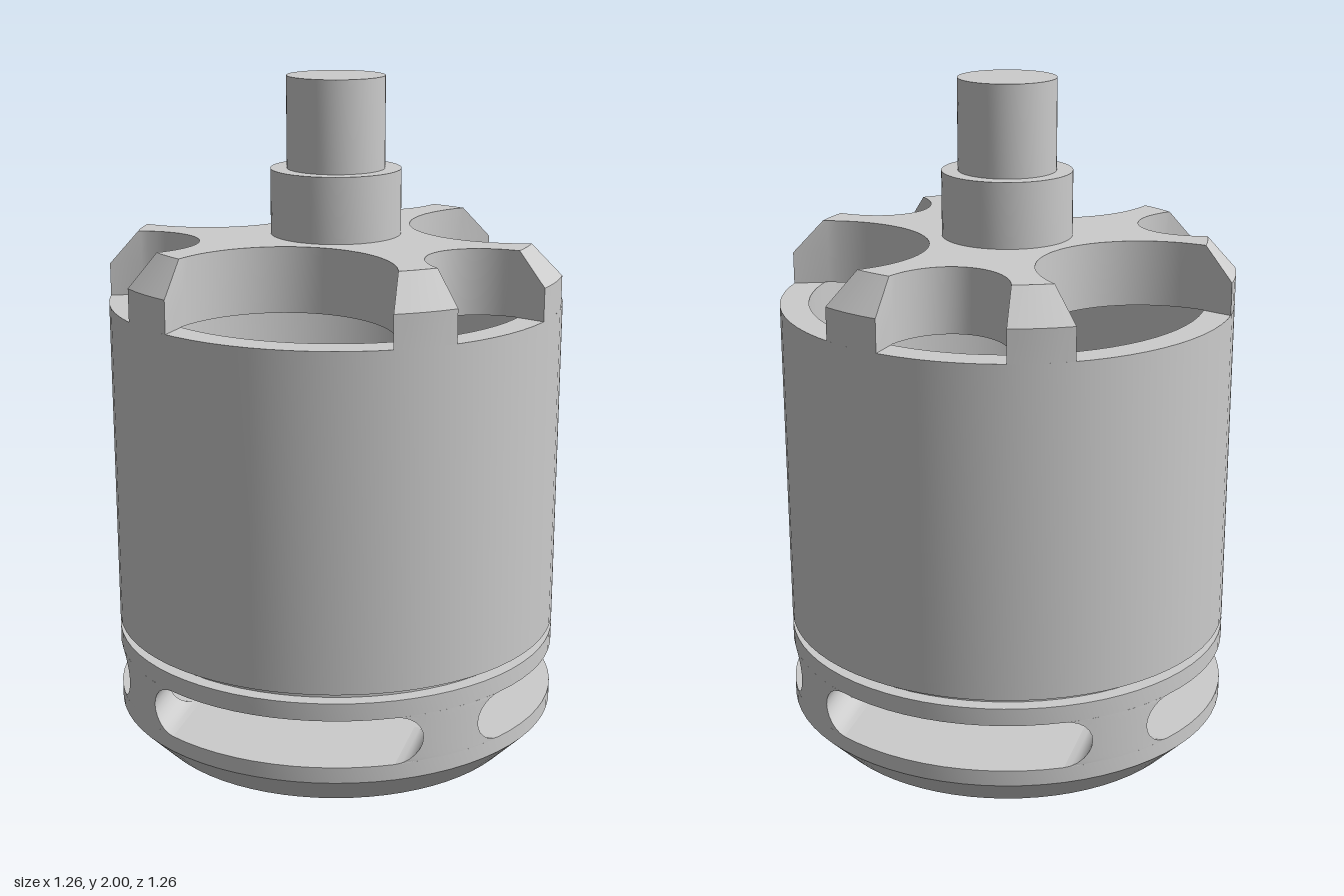
import * as THREE from 'three';
import { toCreasedNormals } from 'three/addons/utils/BufferGeometryUtils.js';

const R = 0.63;      // outer radius
const RI = 0.55;     // bore radius, also the top edge of the bevel
const SEG = 72;

function add(parent, name, geometry, side = THREE.FrontSide) {
  const material = new THREE.MeshStandardMaterial({ color: 0xcccccc, side });
  const mesh = new THREE.Mesh(toCreasedNormals(geometry, 0.5), material);
  mesh.name = name;
  parent.add(mesh);
  return mesh;
}

const lathe = (pts, seg = SEG) =>
  new THREE.LatheGeometry(pts.map(([r, y]) => new THREE.Vector2(r, y)), seg);

// Solid through matching counter-clockwise outlines (x, -z) at rising heights
function loft(levels) {
  const n = levels[0].pts.length;
  const pos = [], index = [];
  for (const { y, pts } of levels) for (const p of pts) pos.push(p.x, y, -p.y);
  for (let l = 0; l < levels.length - 1; l++) {
    for (let i = 0; i < n; i++) {
      const a = l * n + i, b = l * n + (i + 1) % n;
      index.push(a, b, b + n, a, b + n, a + n);
    }
  }
  const last = levels.length - 1;
  for (const [a, b, c] of THREE.ShapeUtils.triangulateShape(levels[0].pts, [])) index.push(a, c, b);
  for (const [a, b, c] of THREE.ShapeUtils.triangulateShape(levels[last].pts, []))
    index.push(last * n + a, last * n + b, last * n + c);
  const g = new THREE.BufferGeometry();
  g.setAttribute('position', new THREE.Float32BufferAttribute(pos, 3));
  g.setIndex(index);
  g.computeVertexNormals();
  return g;
}

// Pockets: half ellipse centred at distance d, radial half axis a, half width b
const LARGE = { d: 0.55, a: 0.325, b: 0.3 };
const SMALL = { d: 0.6, a: 0.215, b: 0.17 };

const halfWidth = ({ d, a, b }, u) => u >= d ? b : b * Math.sqrt(Math.max(0, 1 - ((d - u) / a) ** 2));

// Where the pocket edge meets a circle of the given radius
function rimPoint(p, radius) {
  let lo = p.d - p.a, hi = radius;
  for (let i = 0; i < 40; i++) {
    const u = (lo + hi) / 2;
    if (Math.hypot(u, halfWidth(p, u)) < radius) lo = u; else hi = u;
  }
  return [lo, halfWidth(p, lo)];
}

// Spoked outline with six pockets, its spoke ends lying on the given radius
function spokeOutline(radius) {
  const pts = [];
  for (let k = 0; k < 6; k++) {
    const phi = -Math.PI / 2 + k * Math.PI / 3;
    const p = k % 2 ? SMALL : LARGE, next = k % 2 ? LARGE : SMALL;
    const put = (u, v) => pts.push(new THREE.Vector2(
      u * Math.cos(phi) - v * Math.sin(phi), u * Math.sin(phi) + v * Math.cos(phi)));
    const [ue, ve] = rimPoint(p, radius);
    const tEnd = 0.97 * Math.acos((p.d - rimPoint(p, RI)[0]) / p.a);
    put(ue, -ve);
    for (let i = -14; i <= 14; i++) {
      const t = tEnd * i / 14;
      put(p.d - p.a * Math.cos(t), p.b * Math.sin(t));
    }
    put(ue, ve);
    const [un, vn] = rimPoint(next, radius);
    const from = Math.atan2(ve, ue), to = Math.PI / 3 - Math.atan2(vn, un);
    for (let i = 1; i < 4; i++) {
      const t = from + (to - from) * i / 4;
      put(radius * Math.cos(t), radius * Math.sin(t));
    }
  }
  return pts;
}

// Corner pillar section left between two crossing slots of half width w
function pillarOutline(w) {
  const pts = [new THREE.Vector2(w, w)];
  const start = Math.asin(w / R), end = Math.PI / 2 - start;
  for (let i = 0; i <= 8; i++) {
    const t = start + (end - start) * i / 8;
    pts.push(new THREE.Vector2(R * Math.cos(t), R * Math.sin(t)));
  }
  return pts;
}

export function createModel() {
  const model = new THREE.Group();
  model.name = 'motor';

  // Hollow can with the groove near its foot
  add(model, 'can', lathe([
    [0, 0.39], [R, 0.39], [R, 0.44], [0.59, 0.44], [0.59, 0.465], [R, 0.465],
    [R, 1.39], [RI, 1.39], [RI, 0.5], [0, 0.5],
  ]));

  // Spoked, bevelled top plate
  add(model, 'spokedTop', loft([
    { y: 1.39, pts: spokeOutline(R) },
    { y: 1.48, pts: spokeOutline(R) },
    { y: 1.57, pts: spokeOutline(RI) },
  ]));

  // Collar and output shaft
  add(model, 'collar', lathe([[0, 1.57], [0.18, 1.57], [0.18, 1.75], [0, 1.75]], 48));
  add(model, 'shaft', lathe([[0, 1.75], [0.135, 1.75], [0.135, 2], [0, 2]], 48));

  // Four pillars between the round-ended vent slots
  const slotR = 0.0675, slotY = 0.3225;
  const levels = [];
  for (let i = 0; i <= 12; i++) {
    const t = -Math.PI / 2 + Math.PI * i / 12;
    levels.push({ y: slotY + slotR * Math.sin(t), pts: pillarOutline(0.3125 + slotR * Math.cos(t)) });
  }
  const pillar = loft(levels);
  for (let i = 0; i < 4; i++) add(model, 'ventPillar', pillar).rotation.y = i * Math.PI / 2;

  // Base with chamfered rim, and its underside with mounting holes
  const baseR = 0.54, baseY = 0.118, holeR = 0.077;
  add(model, 'base', lathe([[baseR, baseY], [R, 0.21], [R, 0.255], [0, 0.255]]));
  const face = new THREE.Shape().absarc(0, 0, baseR, 0, Math.PI * 2);
  for (const [x, z] of [[0.43, 0], [-0.43, 0], [0, 0.36], [0, -0.36]]) {
    face.holes.push(new THREE.Path().absarc(x, z, holeR, 0, Math.PI * 2, true));
    add(model, 'mountingHole', lathe([[holeR, baseY], [holeR, 0.21], [0, 0.21]], 36), THREE.DoubleSide)
      .position.set(x, 0, z);
  }
  add(model, 'baseUnderside', new THREE.ShapeGeometry(face, 36).rotateX(Math.PI / 2)).position.y = baseY;

  // Short shaft end below
  add(model, 'lowerShaft', lathe([[0, 0], [0.145, 0], [0.145, baseY], [0, baseY]], 48));

  return model;
}
